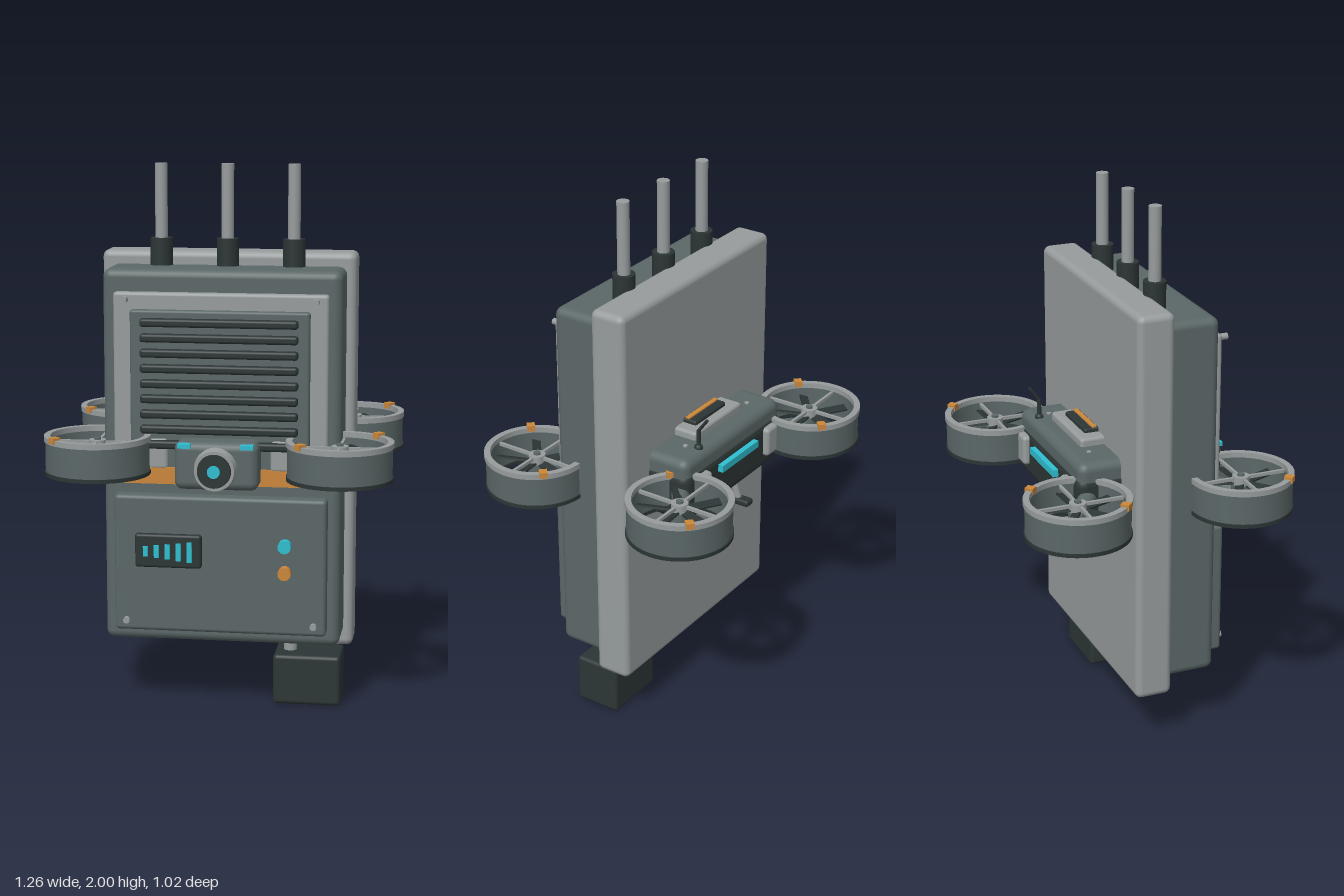
import * as THREE from 'three';
import { toCreasedNormals } from 'three/addons/utils/BufferGeometryUtils.js';
import { RoundedBoxGeometry } from 'three/addons/geometries/RoundedBoxGeometry.js';

const mat = (name, color) => Object.assign(new THREE.MeshStandardMaterial({ color }), { name });

export function createModel() {
  const light = mat('light grey', 0x979c9d);
  const grey = mat('slate grey', 0x5b6767);
  const dark = mat('near black', 0x2c3535);
  const orange = mat('orange', 0xcb873a);
  const cyan = mat('cyan', 0x2fbfd0);

  const root = new THREE.Group();
  root.name = 'fieldUnit';
  const group = (name, parent = root) => {
    const g = new THREE.Group();
    g.name = name;
    parent.add(g);
    return g;
  };
  const add = (parent, name, geo, m, x = 0, y = 0, z = 0) => {
    const mesh = new THREE.Mesh(geo, m);
    mesh.name = name;
    mesh.position.set(x, y, z);
    parent.add(mesh);
    return mesh;
  };
  // box given by its extents, with optional rounded edges
  const box = (parent, name, m, [x0, x1], [y0, y1], [z0, z1], r = 0) => {
    const w = x1 - x0, h = y1 - y0, d = z1 - z0;
    const geo = r ? new RoundedBoxGeometry(w, h, d, 3, r) : new THREE.BoxGeometry(w, h, d);
    return add(parent, name, geo, m, (x0 + x1) / 2, (y0 + y1) / 2, (z0 + z1) / 2);
  };
  // cylinder between two points
  const rod = (parent, name, m, a, b, r0, r1 = r0, seg = 24) => {
    const A = new THREE.Vector3(...a), B = new THREE.Vector3(...b), dir = B.clone().sub(A);
    const mesh = add(parent, name, new THREE.CylinderGeometry(r1, r0, dir.length(), seg), m);
    mesh.position.copy(A).add(B).multiplyScalar(0.5);
    mesh.quaternion.setFromUnitVectors(new THREE.Vector3(0, 1, 0), dir.normalize());
    return mesh;
  };
  // ring of rectangular section around y
  const ring = (parent, name, m, ri, ro, y0, y1) => {
    const pts = [[ro, y0], [ro, y1], [ri, y1], [ri, y0], [ro, y0]].map(p => new THREE.Vector2(...p));
    return add(parent, name, toCreasedNormals(new THREE.LatheGeometry(pts, 48), 0.6), m);
  };

  // main case
  const unit = group('case');
  box(unit, 'backPanel', light, [-0.47, 0.47], [0.2, 1.68], [-0.1, 0.04], 0.025);
  box(unit, 'caseBody', grey, [-0.435, 0.435], [0.25, 1.63], [0, 0.225], 0.03);

  // vent with slats
  const vent = group('vent', unit);
  box(vent, 'ventFrame', light, [-0.39, 0.39], [0.88, 1.55], [0.2, 0.255], 0.012);
  box(vent, 'ventPlate', grey, [-0.325, 0.325], [0.91, 1.49], [0.23, 0.28], 0.01);
  for (let i = 0; i < 9; i++) {
    const y = 1.447 - i * 0.0553;
    box(vent, 'slat', dark, [-0.285, 0.285], [y - 0.015, y + 0.015], [0.265, 0.308], 0.01);
  }
  box(vent, 'orangeBand', orange, [-0.39, 0.39], [0.858, 0.92], [0.2, 0.288]);

  // lower control panel
  const panel = group('controlPanel', unit);
  box(panel, 'panelPlate', grey, [-0.39, 0.39], [0.3, 0.81], [0.2, 0.275], 0.015);
  box(panel, 'display', dark, [-0.31, -0.065], [0.545, 0.67], [0.26, 0.295], 0.01);
  [0.038, 0.048, 0.056, 0.066, 0.076].forEach((h, i) => {
    const x = -0.27 + i * 0.0405;
    box(panel, 'levelBar', cyan, [x - 0.009, x + 0.009], [0.607 - h / 2, 0.607 + h / 2], [0.292, 0.301]);
  });
  rod(panel, 'cyanButton', cyan, [0.24, 0.64, 0.27], [0.24, 0.64, 0.308], 0.024);
  rod(panel, 'orangeButton', orange, [0.24, 0.54, 0.27], [0.24, 0.54, 0.308], 0.024);
  for (const s of [-1, 1]) {
    rod(panel, 'lowerScrew', light, [s * 0.345, 0.34, 0.27], [s * 0.345, 0.34, 0.292], 0.012);
    rod(vent, 'upperScrew', light, [s * 0.345, 1.525, 0.25], [s * 0.345, 1.525, 0.292], 0.012);
  }

  // antennas and hanging weight
  for (const x of [-0.245, 0, 0.243]) {
    const antenna = group('antenna');
    rod(antenna, 'antennaBase', dark, [x, 1.6, 0.055], [x, 1.73, 0.055], 0.041);
    rod(antenna, 'antennaRod', light, [x, 1.72, 0.055], [x, 2, 0.055], 0.023);
  }
  rod(root, 'weightRod', light, [0.24, 0.15, 0.07], [0.24, 0.3, 0.07], 0.025);
  box(root, 'weight', dark, [0.183, 0.435], [0, 0.19], [-0.022, 0.16], 0.015);

  // drone hull running through the case
  const drone = group('drone');
  box(drone, 'hull', dark, [-0.32, 0.32], [0.85, 1.05], [-0.267, 0.267], 0.04);
  box(drone, 'topShell', grey, [-0.315, 0.315], [0.99, 1.1], [-0.26, 0.26], 0.035);
  box(drone, 'belly', grey, [-0.24, 0.24], [0.79, 0.9], [-0.2, 0.2], 0.03);
  box(drone, 'rearLight', cyan, [-0.12, 0.12], [0.985, 1.012], [-0.288, -0.255]);
  for (const s of [-1, 1]) {
    for (const t of [-1, 1])
      box(drone, 'cornerPad', light, [s * 0.222 - 0.036, s * 0.222 + 0.036], [0.91, 1.025],
        [t * 0.262 - 0.028, t * 0.262 + 0.028], 0.015);
    rod(drone, 'topScrew', light, [s * 0.205, 1.09, -0.18], [s * 0.205, 1.104, -0.18], 0.009);
    for (const t of [-1, 1])
      rod(drone, 'leg', light, [s * 0.15, 0.82, t * 0.15], [s * 0.165, 0.71, t * 0.175], 0.014);
    box(drone, 'skid', dark, [s * 0.165 - 0.022, s * 0.165 + 0.022], [0.69, 0.717], [-0.23, 0.2], 0.01);
  }

  // top deck, whip antenna
  box(drone, 'deckPlate', light, [-0.153, 0.153], [1.08, 1.13], [-0.19, 0.19], 0.012);
  box(drone, 'deckGrille', dark, [-0.1, 0.1], [1.11, 1.145], [-0.155, 0.155], 0.008);
  for (const z of [-0.115, 0.115]) box(drone, 'deckStripe', orange, [-0.095, 0.095], [1.14, 1.15], [z - 0.009, z + 0.009]);
  add(drone, 'whipBase', new THREE.SphereGeometry(0.016, 16, 12), dark, 0.187, 1.1, -0.225);
  rod(drone, 'whipStem', dark, [0.187, 1.09, -0.225], [0.187, 1.17, -0.225], 0.008);
  rod(drone, 'whip', dark, [0.187, 1.165, -0.222], [0.187, 1.22, -0.262], 0.006);

  // camera
  const cam = group('camera', drone);
  box(cam, 'cameraBody', grey, [-0.152, 0.152], [0.855, 1.03], [0.22, 0.37], 0.03);
  rod(cam, 'lensBarrel', light, [0, 0.935, 0.36], [0, 0.935, 0.408], 0.08, 0.072, 36);
  rod(cam, 'lens', dark, [0, 0.935, 0.38], [0, 0.935, 0.418], 0.064, 0.06, 36);
  rod(cam, 'lensCore', cyan, [0, 0.935, 0.4], [0, 0.935, 0.425], 0.023);
  for (const s of [-1, 1])
    box(cam, 'cameraLight', cyan, [s * 0.113 - 0.023, s * 0.113 + 0.023], [1.01, 1.026], [0.35, 0.386]);

  // four ducted rotors
  for (const sx of [-1, 1]) for (const sz of [-1, 1]) {
    const rotor = group('rotor', drone);
    rotor.position.set(sx * 0.439, 0, sz * 0.315);
    ring(rotor, 'duct', grey, 0.173, 0.188, 0.908, 1.022);
    ring(rotor, 'upperRim', light, 0.17, 0.193, 1.02, 1.04);
    ring(rotor, 'lowerRim', dark, 0.17, 0.192, 0.898, 0.912);
    for (const a of [0, Math.PI / 2])
      add(rotor, 'strut', new THREE.BoxGeometry(0.35, 0.012, 0.011), light, 0, 1.012).rotation.y = a;
    rod(rotor, 'motor', grey, [0, 0.92, 0], [0, 0.99, 0], 0.035);
    rod(rotor, 'hub', light, [0, 0.985, 0], [0, 1.022, 0], 0.031);
    rod(rotor, 'hubCap', grey, [0, 1.02, 0], [0, 1.03, 0], 0.013);
    for (let i = 0; i < 5; i++) {
      const pivot = group('blade', rotor);
      pivot.position.y = 0.992;
      pivot.rotation.y = (3 + i * 72) * Math.PI / 180;
      add(pivot, 'bladePlate', new THREE.BoxGeometry(0.13, 0.007, 0.032), dark, 0.091).rotation.x = 0.3;
    }
    // orange clips on the rim
    for (const s of [-1, 1])
      add(rotor, 'rimClip', new THREE.BoxGeometry(0.032, 0.022, 0.03), orange,
        s * 0.129, 1.038, -s * 0.129).rotation.y = Math.PI / 4;
    // arm to the hull
    rod(drone, 'arm', grey, [sx * 0.43, 0.955, sz * 0.31], [sx * 0.27, 0.965, sz * 0.205], 0.029, 0.035);
  }
  return root;
}
